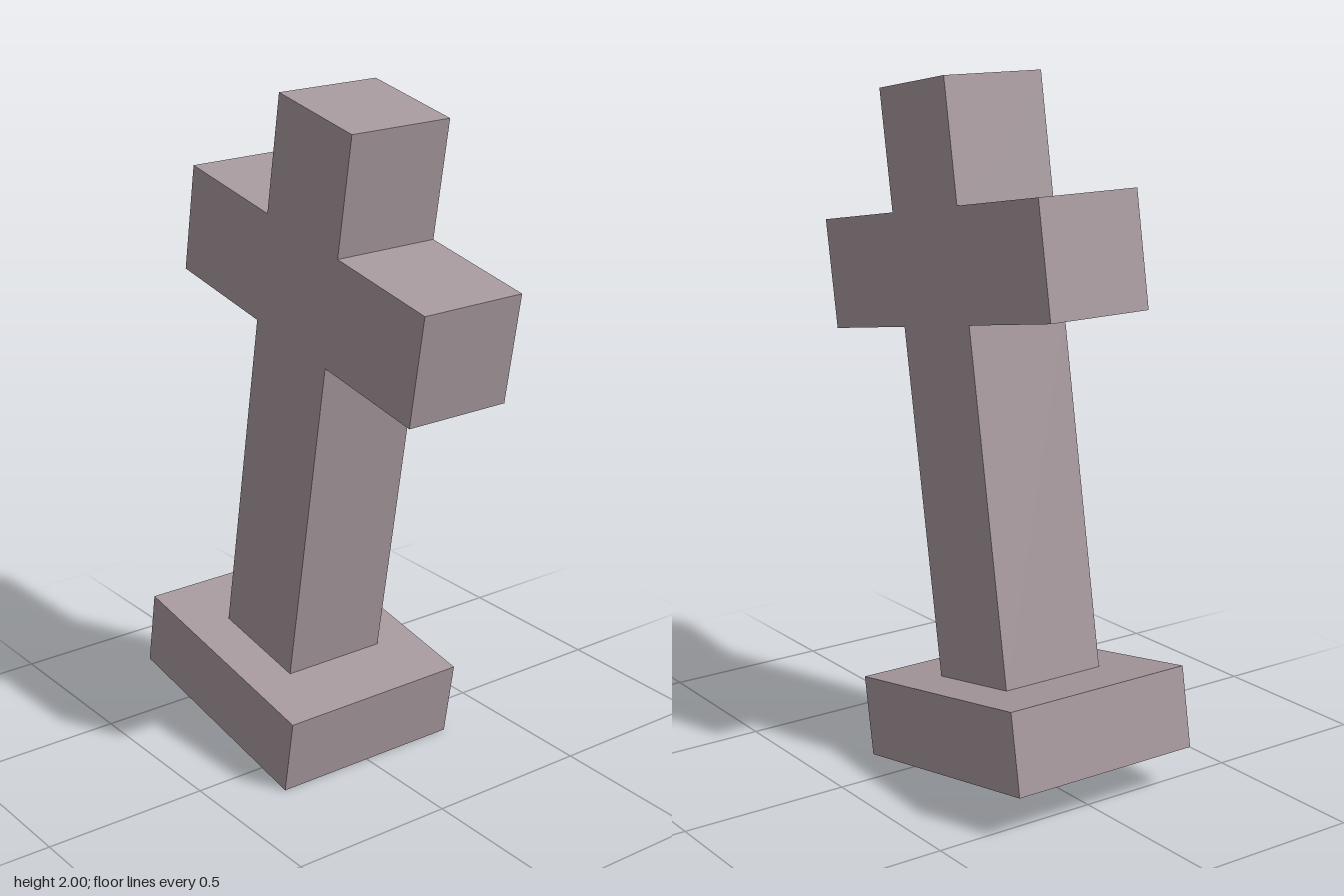
import * as THREE from 'three';

export function createModel() {
  const stone = new THREE.MeshStandardMaterial({ color: 0xa6989d });
  stone.name = 'mauveGreyStone';

  const model = new THREE.Group();
  model.name = 'tiltedGraveCross';

  // Everything leans together, pivoting on the middle of the plinth's underside
  const tilt = new THREE.Group();
  tilt.name = 'leaningCross';
  tilt.position.set(-0.219, 0.0645, 0);
  tilt.rotation.z = -THREE.MathUtils.degToRad(10);
  model.add(tilt);

  // Plinth
  const baseHeight = 0.236;
  const base = new THREE.Mesh(new THREE.BoxGeometry(0.743, baseHeight, 0.6), stone);
  base.name = 'plinth';
  base.position.y = baseHeight / 2;
  tilt.add(base);

  // Cross outline: right half going up, mirrored for the left half
  const half = 0.1635, arm = 0.5365, armLow = 1.258, armHigh = 1.585, top = 1.937;
  const right = [
    [half, baseHeight], [half, armLow], [arm, armLow],
    [arm, armHigh], [half, armHigh], [half, top],
  ];
  const left = right.map(([x, y]) => [-x, y]).reverse();
  const outline = new THREE.Shape([...right, ...left].map(([x, y]) => new THREE.Vector2(x, y)));
  const depth = 0.328;
  const crossGeometry = new THREE.ExtrudeGeometry(outline, { depth, bevelEnabled: false });
  crossGeometry.translate(0, 0, -depth / 2 - 0.002);
  const cross = new THREE.Mesh(crossGeometry, stone);
  cross.name = 'cross';
  tilt.add(cross);

  return model;
}
